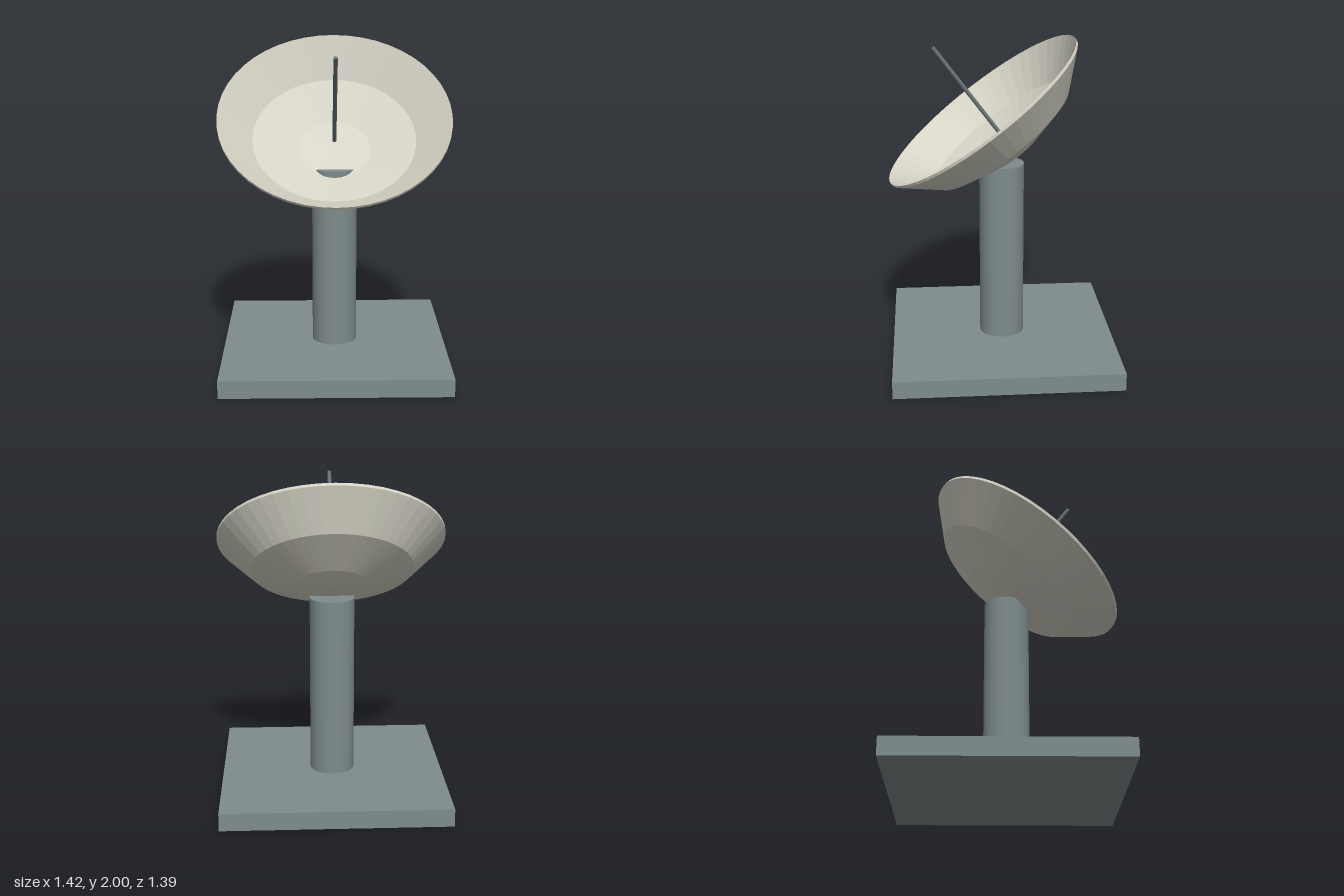
import * as THREE from 'three';

export function createModel() {
  const model = new THREE.Group();
  model.name = 'satelliteDish';

  const steel = new THREE.MeshStandardMaterial({ color: 0x7f8c8c });
  const darkSteel = new THREE.MeshStandardMaterial({ color: 0x667276 });
  const cream = new THREE.MeshStandardMaterial({ color: 0xd6d4c6, flatShading: true });

  const add = (parent, name, geometry, material, y) => {
    const mesh = new THREE.Mesh(geometry, material);
    mesh.name = name;
    mesh.position.y = y;
    parent.add(mesh);
  };

  // Square base plate and round column
  add(model, 'basePlate', new THREE.BoxGeometry(1.39, 0.11, 1.39), steel, 0.055);
  add(model, 'column', new THREE.CylinderGeometry(0.139, 0.139, 1.12, 32), steel, 0.67);

  // Tilted head: local y is the dish axis, with the origin at the rim centre
  const head = new THREE.Group();
  head.name = 'dishHead';
  head.position.set(0, 1.575, 0.1275);
  head.rotation.x = 0.6435;
  model.add(head);

  // Dish shell: the back profile outwards, then the same profile raised for the inside
  const thickness = 0.017;
  const inside = [[0, -0.33], [0.225, -0.304], [0.503, -0.2], [0.709, 0]];
  const profile = [
    ...inside.map(([r, y]) => new THREE.Vector2(r, y - thickness)),
    ...inside.map(([r, y]) => new THREE.Vector2(r, y)).reverse(),
  ];
  add(head, 'dish', new THREE.LatheGeometry(profile, 48), cream, 0);

  // Feed rod along the dish axis
  add(head, 'feedRod', new THREE.CylinderGeometry(0.0125, 0.0125, 0.696, 12), darkSteel, 0.124);

  return model;
}
